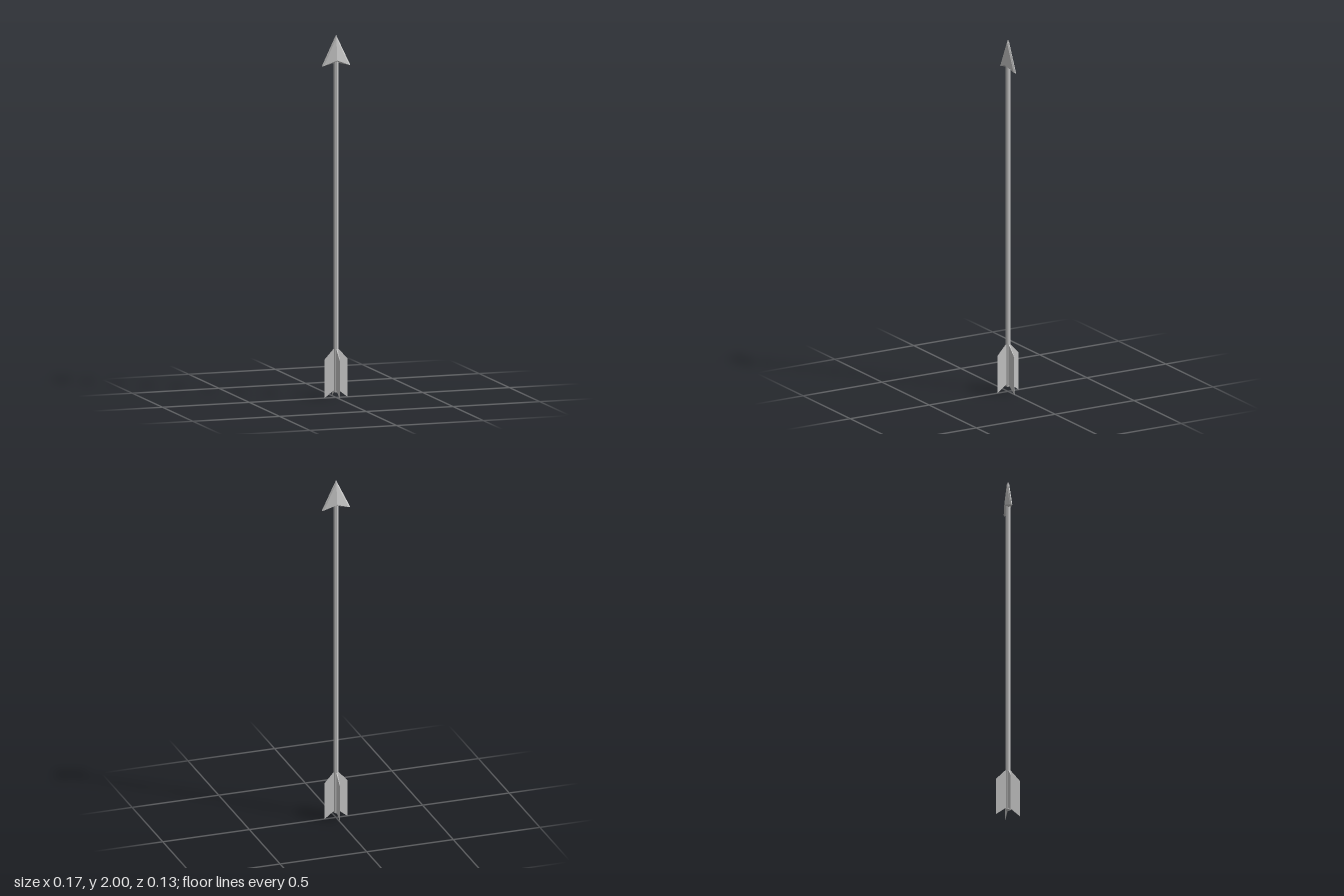
import * as THREE from 'three';

const material = new THREE.MeshStandardMaterial({ color: 0xcccccc, flatShading: true, side: THREE.DoubleSide });

function addMesh(parent, name, geometry) {
  const mesh = new THREE.Mesh(geometry, material);
  mesh.name = name;
  parent.add(mesh);
  return mesh;
}

// One quarter of the bevelled head, mirrored by the signs of x and z
function headQuarter(sx, sz) {
  const tip = [0, 2, 0];
  const faceTop = [0, 1.985, 0.007];
  const ridge = [0, 1.86, 0.021];
  const barb = [0.072, 1.832, 0.007];
  const point = [0.083, 1.828, 0];
  const notch = [0, 1.847, 0];
  const triangles = [
    [faceTop, ridge, barb],                       // broad face
    [tip, faceTop, barb], [tip, barb, point],     // cutting bevel
    [notch, point, barb], [notch, barb, ridge],   // underside
  ];
  const positions = [];
  for (const tri of triangles) {
    const ordered = sx * sz > 0 ? tri : [tri[0], tri[2], tri[1]];
    for (const [x, y, z] of ordered) positions.push(x * sx, y, z * sz);
  }
  const geometry = new THREE.BufferGeometry();
  geometry.setAttribute('position', new THREE.Float32BufferAttribute(positions, 3));
  geometry.computeVertexNormals();
  return geometry;
}

// Swept feather vane, thick at the shaft and thin at its outer edge
function vaneGeometry() {
  const shape = new THREE.Shape([
    [0.004, 0.048], [0.066, 0], [0.066, 0.212], [0.012, 0.27], [0.004, 0.27],
  ].map(([x, y]) => new THREE.Vector2(x, y)));
  const geometry = new THREE.ExtrudeGeometry(shape, { depth: 1, bevelEnabled: false });
  geometry.translate(0, 0, -0.5);
  const p = geometry.attributes.position;
  for (let i = 0; i < p.count; i++) {
    p.setZ(i, p.getZ(i) * THREE.MathUtils.mapLinear(p.getX(i), 0, 0.066, 0.007, 0.002));
  }
  geometry.computeVertexNormals();
  return geometry;
}

export function createModel() {
  const arrow = new THREE.Group();
  arrow.name = 'arrow';

  // Shaft
  const shaft = addMesh(arrow, 'shaft', new THREE.CylinderGeometry(0.014, 0.014, 1.83, 8));
  shaft.position.y = 0.945;

  // Arrowhead
  const head = new THREE.Group();
  head.name = 'arrowhead';
  for (const sx of [1, -1]) {
    for (const sz of [1, -1]) addMesh(head, 'headQuarter', headQuarter(sx, sz));
  }
  arrow.add(head);

  // Four feather vanes around the tail
  const fletching = new THREE.Group();
  fletching.name = 'fletching';
  const vane = vaneGeometry();
  for (let i = 0; i < 4; i++) {
    addMesh(fletching, 'vane', vane).rotation.y = (i * Math.PI) / 2;
  }
  arrow.add(fletching);

  return arrow;
}
